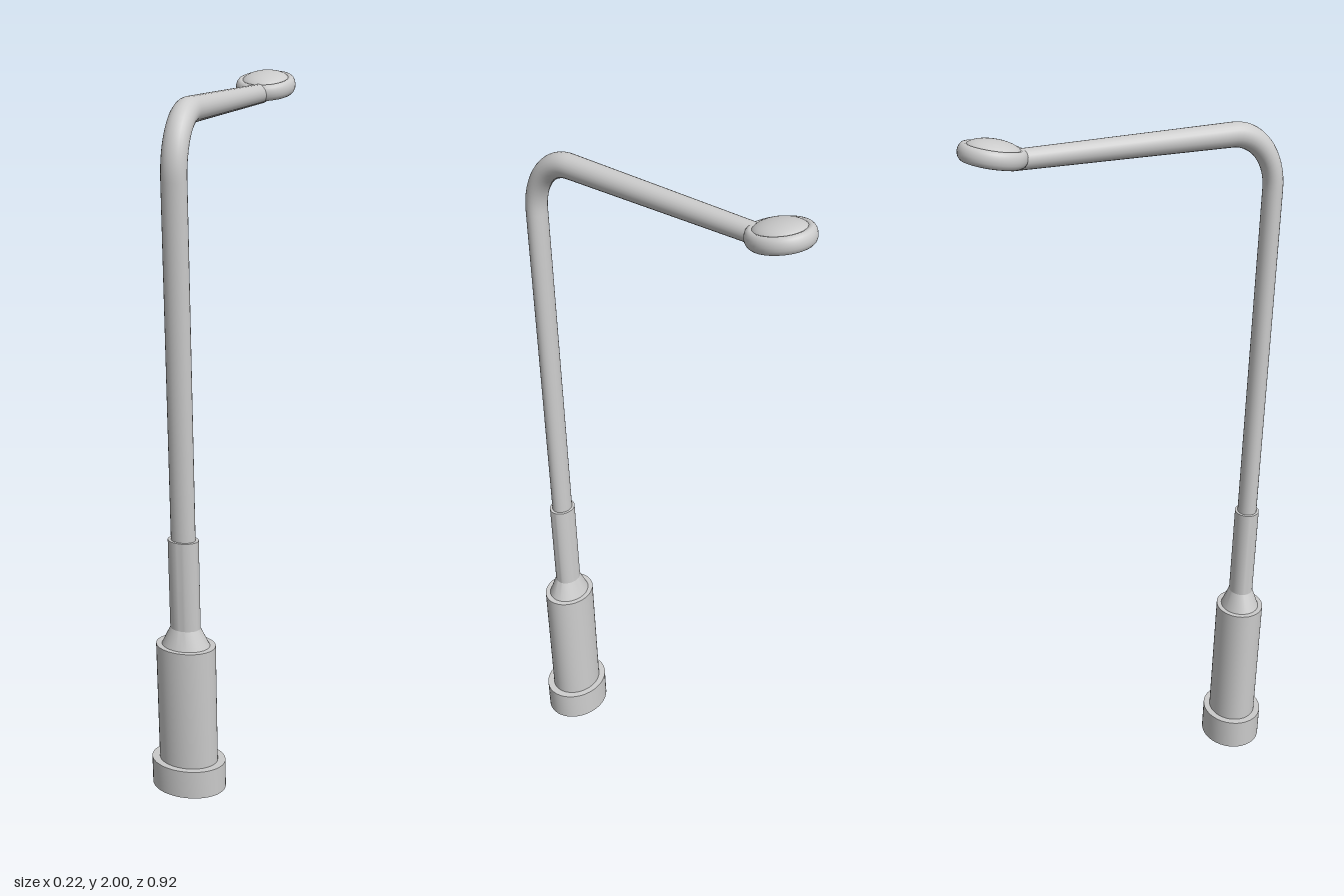
import * as THREE from 'three';
import { toCreasedNormals } from 'three/addons/utils/BufferGeometryUtils.js';

const grey = new THREE.MeshStandardMaterial({ color: 0xcccccc, side: THREE.DoubleSide });

// The whole post is squashed in depth and leans slightly
const lean = new THREE.Matrix4().set(
  1, 0, 0, 0,
  0, 1, 0.037, 0.004,
  0, 0.04, 0.8, 0.362,
  0, 0, 0, 1
);

function addMesh(parent, name, geometry) {
  const mesh = new THREE.Mesh(geometry, grey);
  mesh.name = name;
  parent.add(mesh);
  return mesh;
}

// Turned part with crisp steps, given [radius, height] pairs
function turned(points, sides = 40) {
  const profile = points.map(([r, y]) => new THREE.Vector2(r, y));
  return toCreasedNormals(new THREE.LatheGeometry(profile, sides), 0.5);
}

// Upright pipe, quarter bend and long arm that narrows towards its end
function pipeGeometry() {
  const top = 1.97, bend = 0.165, k = bend * 0.45, end = -0.944;
  const v = (y, z) => new THREE.Vector3(0, y, z);
  const path = new THREE.CurvePath();
  path.add(new THREE.LineCurve3(v(0.79, 0), v(top - bend, 0)));
  path.add(new THREE.CubicBezierCurve3(
    v(top - bend, 0), v(top - k, 0), v(top, -k), v(top, -bend)));
  path.add(new THREE.LineCurve3(v(top, -bend), v(top, end)));

  const segments = 120, sides = 24;
  const geometry = new THREE.TubeGeometry(path, segments, 0.035, sides);
  const pos = geometry.attributes.position;
  const p = new THREE.Vector3();
  for (let i = 0; i < pos.count; i++) {
    const t = Math.floor(i / (sides + 1)) / segments;
    const taper = 1 - 0.19 * Math.max(0, (t - 0.6) / 0.4);
    const centre = path.getPointAt(t);
    p.fromBufferAttribute(pos, i).sub(centre).multiplyScalar(taper).add(centre);
    pos.setXYZ(i, p.x, p.y, p.z);
  }
  return geometry;
}

export function createModel() {
  const model = new THREE.Group();
  model.name = 'streetLamp';

  // Hollow base, open underneath
  const post = new THREE.Group();
  post.name = 'post';
  model.add(post);
  addMesh(post, 'baseCollar', turned([[0.11, 0], [0.11, 0.09], [0.087, 0.09]]).applyMatrix4(lean));
  addMesh(post, 'baseCylinder', turned([[0.087, 0.09], [0.087, 0.47], [0.07, 0.47]]).applyMatrix4(lean));
  addMesh(post, 'shoulder', turned([[0.07, 0.47], [0.044, 0.525]]).applyMatrix4(lean));
  addMesh(post, 'lowerPole', turned([[0.044, 0.525], [0.044, 0.8], [0.034, 0.8]]).applyMatrix4(lean));
  addMesh(post, 'upperPoleAndArm', pipeGeometry().applyMatrix4(lean));

  // Lamp head, tipped up at the far end
  const lamp = new THREE.Group();
  lamp.name = 'lampHead';
  lamp.position.set(0, 1.957, -0.363);
  lamp.rotation.x = 0.17;
  lamp.scale.z = 1.08;
  model.add(lamp);

  // Rounded rim, taller than it is wide
  const rim = new THREE.TorusGeometry(0.073, 0.015, 16, 48).rotateX(Math.PI / 2).scale(1, 1.6, 1);
  addMesh(lamp, 'lampRim', rim);

  // Shallow dome
  const dome = [];
  for (let i = 0; i <= 10; i++) {
    const a = (i / 10) * Math.PI / 2;
    dome.push(new THREE.Vector2(0.07 * Math.cos(a), 0.014 + 0.027 * Math.sin(a)));
  }
  addMesh(lamp, 'lampDome', new THREE.LatheGeometry(dome, 48));

  return model;
}
